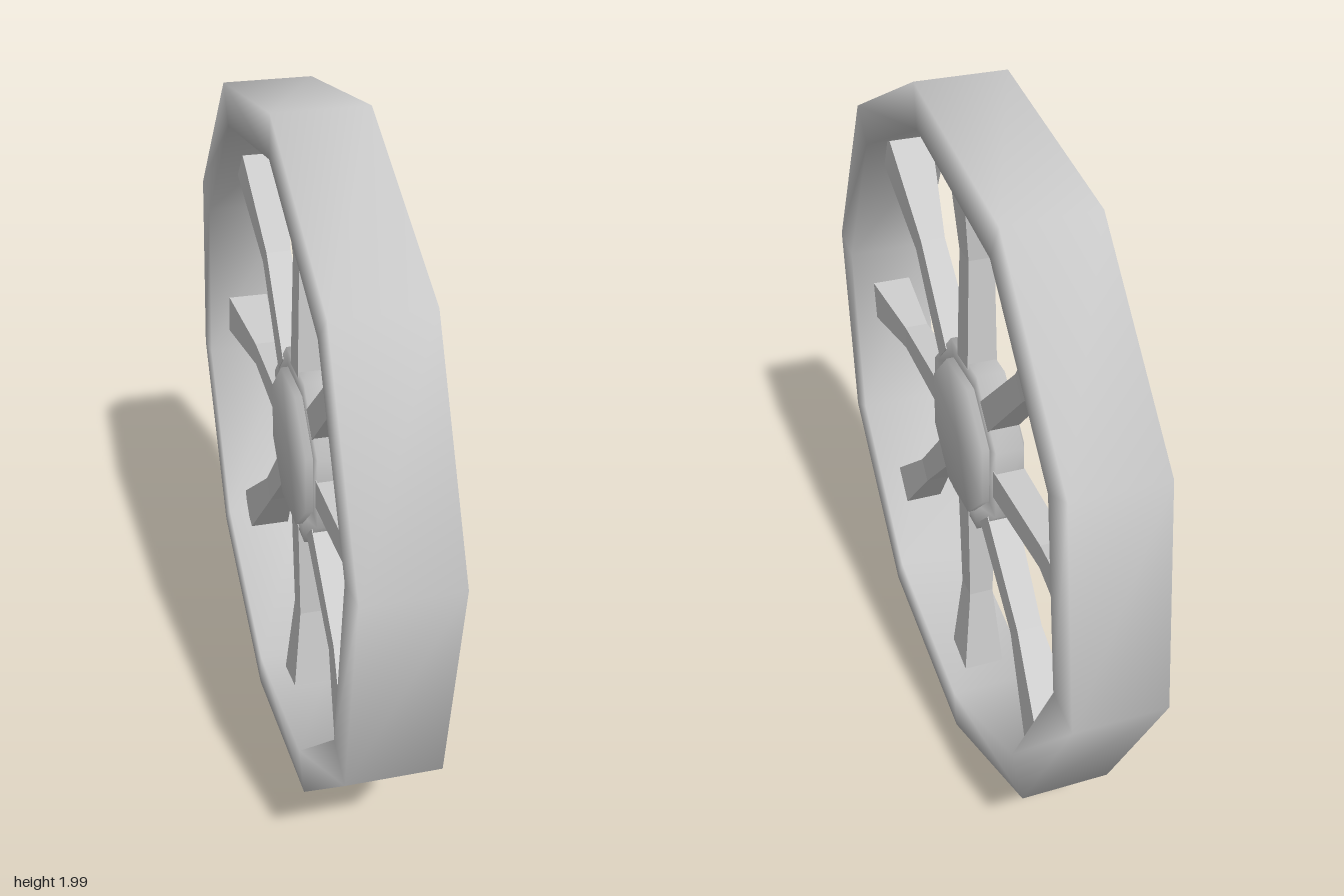
import * as THREE from 'three';
import { mergeVertices } from 'three/addons/utils/BufferGeometryUtils.js';

const deg = Math.PI / 180;
const grey = new THREE.MeshStandardMaterial({ color: 0xcccccc });
const greyFlat = new THREE.MeshStandardMaterial({ color: 0xcccccc, flatShading: true });

// Polygonal ring or disc turned about the x axis, with soft shared normals
function turned(name, profile, sides, phase) {
  const points = profile.map(([r, x]) => new THREE.Vector2(r, x));
  let geo = new THREE.LatheGeometry(points, sides, -phase * deg);
  geo.deleteAttribute('normal');
  geo.deleteAttribute('uv');
  geo = mergeVertices(geo, 1e-4);
  geo.computeVertexNormals();
  geo.rotateZ(-Math.PI / 2);
  const mesh = new THREE.Mesh(geo, grey);
  mesh.name = name;
  return mesh;
}

const ringProfile = (outer, inner, half) =>
  [[outer, -half], [outer, half], [inner, half], [inner, -half], [outer, -half]];

// Square bar, narrow at the middle and flared towards the rim
function spokeGeometry() {
  const inner = 0.245, middle = 0.57, outer = 0.88;
  const geo = new THREE.BoxGeometry(1, 2, 1, 1, 2, 1);
  const p = geo.attributes.position;
  const radii = [inner, middle, outer];
  const widths = [0.085, 0.072, 0.128];
  for (let i = 0; i < p.count; i++) {
    const k = Math.round(p.getY(i)) + 1;
    p.setXYZ(i, p.getX(i) * widths[k], radii[k], p.getZ(i) * widths[k]);
  }
  geo.computeVertexNormals();
  return geo;
}

export function createModel() {
  const wheel = new THREE.Group();
  wheel.name = 'wheel';

  // Ten-sided rim
  const rim = turned('rim', ringProfile(1.005, 0.885, 0.125), 10, 10.2);
  rim.position.set(0, 1.005, 0.003);
  wheel.add(rim);

  // Eight-sided hub: outer ring and a thicker centre disc
  const hub = new THREE.Group();
  hub.name = 'hub';
  hub.position.set(0, 0.995, 0.02);
  hub.add(turned('hubRing', ringProfile(0.28, 0.2, 0.04), 8, 22.5));
  hub.add(turned('hubDisc', [[0, -0.06], [0.225, -0.06], [0.225, 0.06], [0, 0.06]], 8, 22.5));
  wheel.add(hub);

  // Eight flared spokes
  const spokes = new THREE.Group();
  spokes.name = 'spokes';
  spokes.position.set(0, 0.993, 0.022);
  const geo = spokeGeometry();
  for (let i = 0; i < 8; i++) {
    const spoke = new THREE.Mesh(geo, greyFlat);
    spoke.name = 'spoke' + (i + 1);
    spoke.rotation.x = i * 45 * deg;
    spokes.add(spoke);
  }
  wheel.add(spokes);

  return wheel;
}
